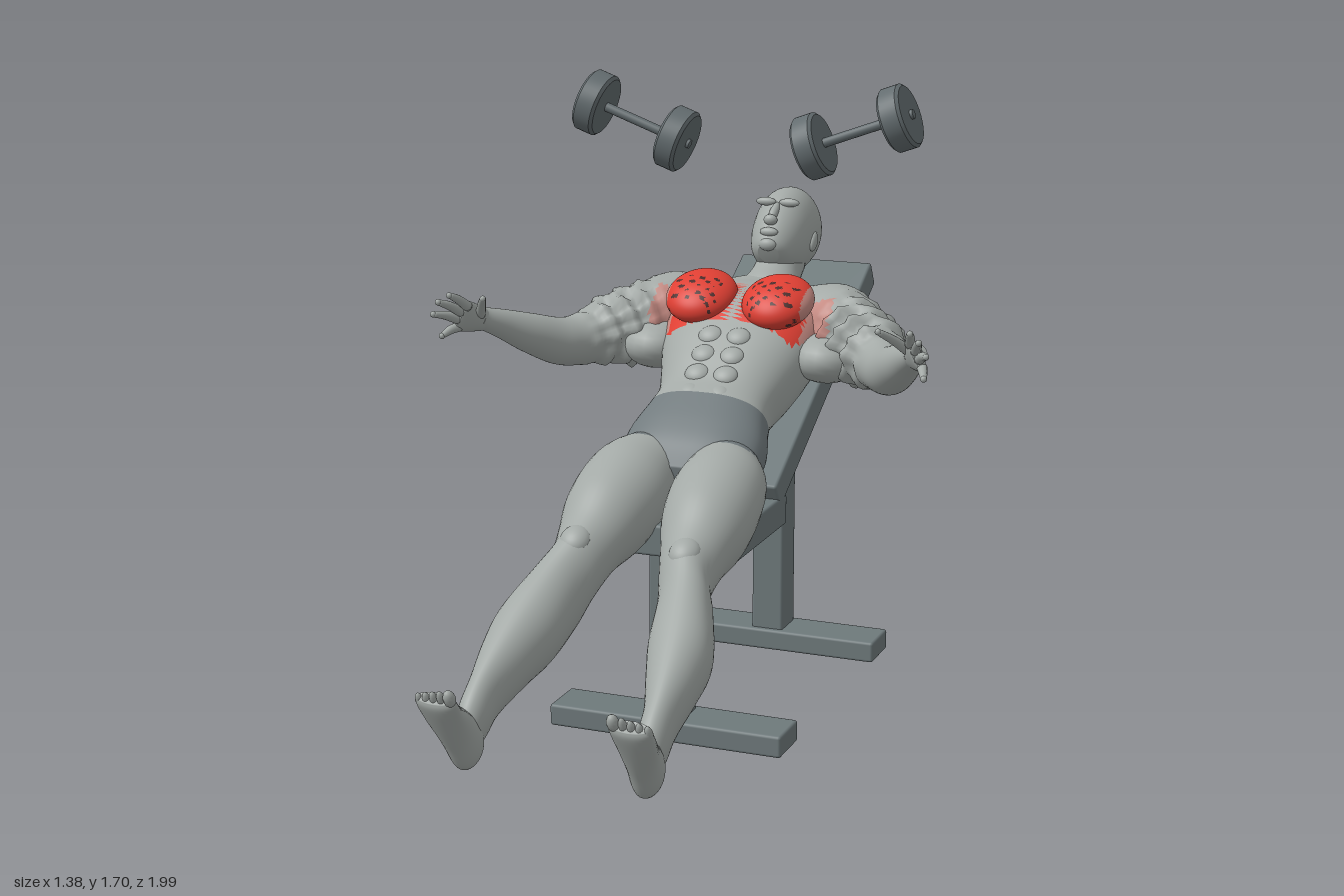
import * as THREE from 'three';
import { toCreasedNormals } from 'three/addons/utils/BufferGeometryUtils.js';
import { RoundedBoxGeometry } from 'three/addons/geometries/RoundedBoxGeometry.js';

const mat = (name, color) => Object.assign(new THREE.MeshStandardMaterial({ color }), { name });
const skin = mat('skin grey', 0xa3a9a6);
const cloth = mat('briefs grey', 0x727b7e);
const steel = mat('bench grey', 0x6e797b);
const iron = mat('dumbbell grey', 0x636c6f);
const red = mat('muscle red', 0xdf3f33);
const pink = mat('faded red', 0xc48a82);
const dark = mat('crack dark', 0x4a2a28);

const mesh = (name, geo, material) => Object.assign(new THREE.Mesh(geo, material), { name });
const wave = (x, y, z, f) =>
  Math.sin(f * (x + 0.45 * y)) * Math.sin(f * (1.1 * y - 0.6 * z) + 1) + 0.6 * Math.sin(f * 1.7 * (z + 0.4 * x));

// Sort faces into material groups by the place of their centre
function paint(geo, pick) {
  const p = geo.attributes.position, src = geo.index.array, lists = {};
  for (let i = 0; i < src.length; i += 3) {
    const f = [src[i], src[i + 1], src[i + 2]];
    const mid = (k) => (p.getComponent(f[0], k) + p.getComponent(f[1], k) + p.getComponent(f[2], k)) / 3;
    const key = pick(Math.abs(mid(0)), mid(1), mid(2));
    (lists[key] ??= []).push(...f);
  }
  const all = [];
  for (const key of Object.keys(lists)) {
    geo.addGroup(all.length, lists[key].length, +key);
    for (const v of lists[key]) all.push(v);
  }
  geo.setIndex(all);
  return geo;
}

// Smooth skin over rings; a row is centre, half-axis u, half-axis v
function loft(rows, { seg = 28, sub = 6, pow = 1, jag = () => 0 } = {}) {
  const pos = [], idx = [], n = rows.length - 1, rings = n * sub + 1;
  const at = (t) => {
    const i = Math.min(Math.floor(t), n - 1), f = t - i;
    const [a, b, c, d] = [-1, 0, 1, 2].map((k) => rows[Math.min(n, Math.max(0, i + k))]);
    return b.map((_, k) => b[k] + 0.5 * f * (c[k] - a[k] + f * (2 * a[k] - 5 * b[k] + 4 * c[k] - d[k]
      + f * (3 * (b[k] - c[k]) + d[k] - a[k]))));
  };
  const bend = (v) => Math.sign(v) * Math.abs(v) ** pow;
  for (let r = 0; r < rings; r++) {
    const q = at(r / sub), amp = jag(r / sub);
    for (let j = 0; j < seg; j++) {
      const a = (j / seg) * Math.PI * 2, cu = bend(Math.cos(a)), sv = bend(Math.sin(a));
      const o = [0, 1, 2].map((k) => q[3 + k] * cu + q[6 + k] * sv);
      const s = amp ? 1 + amp * wave(Math.abs(q[0] + o[0]), q[1] + o[1], q[2] + o[2], 75) : 1;
      pos.push(q[0] + o[0] * s, q[1] + o[1] * s, q[2] + o[2] * s);
    }
  }
  pos.push(...rows[0].slice(0, 3), ...rows[n].slice(0, 3));
  const m = rows[n >> 1], V = (r, k) => new THREE.Vector3(r[k], r[k + 1], r[k + 2]);
  const flip = V(m, 3).cross(V(m, 6)).dot(V(rows[n], 0).sub(V(rows[0], 0))) < 0;
  const tri = (a, b, c) => (flip ? idx.push(a, c, b) : idx.push(a, b, c));
  for (let j = 0; j < seg; j++) {
    const k = (j + 1) % seg, e = (rings - 1) * seg;
    for (let r = 0; r < e; r += seg) {
      tri(r + j, r + k, r + seg + j);
      tri(r + k, r + seg + k, r + seg + j);
    }
    tri(rings * seg, k, j);
    tri(rings * seg + 1, e + j, e + k);
  }
  const g = new THREE.BufferGeometry();
  g.setAttribute('position', new THREE.Float32BufferAttribute(pos, 3));
  g.setIndex(idx);
  g.computeVertexNormals();
  return g;
}
// Row from side profile: front z,y / back z,y / centre x / half width
const slice = ([tz, ty, bz, by, cx, hw]) =>
  [cx, (ty + by) / 2, (tz + bz) / 2, hw, 0, 0, 0, (ty - by) / 2, (tz - bz) / 2];
const profile = (rows, s = 1) => rows.map(([a, b, c, d, x, w]) => slice([a, b, c, d, x * s, w]));
// Rows of round sections square to a path of x, y, z, radius
const limb = (pts, s) => pts.map((p, i) => {
  const P = (k) => new THREE.Vector3(pts[k][0] * s, pts[k][1], pts[k][2]);
  const t = P(Math.min(i + 1, pts.length - 1)).sub(P(Math.max(i - 1, 0))).normalize();
  const u = new THREE.Vector3(0, 1, 0).cross(t).normalize(), v = t.clone().cross(u);
  return [...P(i).toArray(), ...u.multiplyScalar(p[3]).toArray(), ...v.multiplyScalar(p[3]).toArray()];
});
const blobGeo = (p, r, tilt = 0, seg = 20) =>
  new THREE.SphereGeometry(1, seg, Math.ceil(seg * 0.7)).scale(...r).rotateX(tilt).translate(...p);
const axis = (y, z) => z * 0.866 - y * 0.5;

function makeBench() {
  const g = new THREE.Group();
  g.name = 'bench';
  const box = (name, w, h, d, y, z, tilt = 0) => {
    const b = mesh(name, new RoundedBoxGeometry(w, h, d, 2, 0.008), steel);
    b.position.set(0, y, z);
    b.rotation.x = tilt;
    g.add(b);
  };
  box('backrest', 0.4, 0.08, 0.935, 0.839, -0.574, Math.PI / 6);
  box('seat', 0.4, 0.085, 0.41, 0.557, -0.035);
  for (const [z, top] of [[0.094, 0.53], [-0.694, 0.54]]) {
    box('post', 0.094, top - 0.04, 0.107, (top + 0.04) / 2, z);
    box('foot bar', 0.66, 0.06, 0.14, 0.03, z);
  }
  return g;
}

function makeDumbbell(s) {
  const g = new THREE.Group();
  g.name = s > 0 ? 'left dumbbell' : 'right dumbbell';
  const shape = [[0, -0.032], [0.08, -0.032], [0.088, -0.024], [0.088, 0.024], [0.08, 0.032], [0, 0.032]];
  const disc = toCreasedNormals(new THREE.LatheGeometry(shape.map((p) => new THREE.Vector2(...p)), 40), 0.4);
  for (const e of [-1, 1]) {
    const w = mesh('weight', disc, iron);
    w.position.y = e * 0.128;
    g.add(w);
  }
  g.add(mesh('handle', new THREE.CylinderGeometry(0.013, 0.013, 0.336, 20), iron));
  g.position.set(s * 0.318, 1.563, -0.432);
  g.rotation.z = -s * (Math.PI / 2 - 0.35);
  return g;
}

function makeFigure() {
  const g = new THREE.Group();
  g.name = 'figure';
  const add = (name, geo, m = skin) => g.add(mesh(name, geo, m));

  // Torso with briefs and tinted chest
  const torso = loft(profile([
    [-0.62, 1.12, -0.70, 1.02, 0, 0.10], [-0.57, 1.115, -0.66, 0.95, 0, 0.20], [-0.50, 1.115, -0.57, 0.89, 0, 0.235],
    [-0.40, 1.10, -0.50, 0.845, 0, 0.23], [-0.31, 1.04, -0.40, 0.79, 0, 0.21], [-0.24, 0.985, -0.33, 0.75, 0, 0.185],
    [-0.17, 0.925, -0.27, 0.73, 0, 0.165], [-0.115, 0.893, -0.217, 0.716, 0, 0.17], [-0.03, 0.84, -0.12, 0.65, 0, 0.195],
    [0.03, 0.79, -0.02, 0.62, 0, 0.18], [0.07, 0.73, 0.04, 0.62, 0, 0.10]]), { seg: 56, sub: 8, pow: 0.82 });
  add('torso', paint(torso, (x, y, z) => {
    if (axis(y, z) > -0.547) return 1;
    if (z < -0.5 || z > -0.32 || x < 0.022 || y < 0.99) return 0;
    return x > 0.19 || z < -0.47 ? 3 : 2;
  }), [skin, cloth, red, pink]);

  // Neck and head
  add('neck', loft(profile([[-0.70, 1.21, -0.80, 1.08, 0, 0.066], [-0.65, 1.155, -0.74, 1.05, 0, 0.07],
    [-0.60, 1.125, -0.68, 1.01, 0, 0.09], [-0.56, 1.09, -0.62, 0.96, 0, 0.14]])));
  add('head', loft(profile([[-0.905, 1.255, -0.912, 1.215, 0, 0.025], [-0.855, 1.325, -0.905, 1.14, 0, 0.068],
    [-0.79, 1.342, -0.87, 1.11, 0, 0.087], [-0.73, 1.33, -0.82, 1.095, 0, 0.089], [-0.68, 1.295, -0.77, 1.095, 0, 0.083],
    [-0.645, 1.26, -0.73, 1.10, 0, 0.073], [-0.62, 1.225, -0.68, 1.12, 0, 0.054], [-0.612, 1.205, -0.64, 1.15, 0, 0.03]]),
  { seg: 36 }));
  add('nose bridge', blobGeo([0, 1.288, -0.672], [0.013, 0.014, 0.04], 0.6));
  add('nose tip', blobGeo([0, 1.272, -0.643], [0.02, 0.016, 0.015], 0.6));
  add('lips', blobGeo([0, 1.24, -0.63], [0.027, 0.012, 0.013], 0.8));
  add('chin', blobGeo([0, 1.205, -0.622], [0.026, 0.018, 0.016]));

  for (const s of [1, -1]) {
    const side = s > 0 ? 'left ' : 'right ';
    add(side + 'brow', blobGeo([s * 0.035, 1.313, -0.703], [0.03, 0.012, 0.012], 0.6));
    add(side + 'ear', blobGeo([s * 0.087, 1.195, -0.765], [0.011, 0.03, 0.02], -0.6));

    // Chest muscle with torn lower edge
    add(side + 'chest muscle', paint(blobGeo([s * 0.112, 1.092, -0.4], [0.1, 0.058, 0.105], 0.42, 72), (x, y, z) => {
      if (z > -0.395 && z < -0.315 && x > 0.045 && x < 0.185 && wave(x, y, z, 150) > 0.62) return 2;
      return z < -0.47 || x > 0.193 ? 1 : 0;
    }), [red, pink, dark]);

    // Stomach muscles
    for (let i = 0; i < 4; i++) {
      const z = -0.285 + i * 0.05;
      add(side + 'stomach muscle', blobGeo([s * 0.04, 1.008 - i * 0.042, z], [0.036, 0.02, 0.032], 0.68));
    }

    // Arm, crumpled from shoulder to elbow
    const arm = loft(limb([[0.14, 1.02, -0.54, 0.09], [0.23, 1.02, -0.53, 0.108], [0.315, 0.99, -0.46, 0.11],
      [0.385, 0.975, -0.39, 0.092], [0.44, 0.96, -0.32, 0.074], [0.48, 0.965, -0.25, 0.066], [0.53, 1.0, -0.17, 0.055],
      [0.575, 1.035, -0.1, 0.041], [0.605, 1.057, -0.05, 0.032], [0.615, 1.066, -0.03, 0.03]], s),
    { seg: 44, sub: 8, jag: (t) => (t > 1.2 && t < 4.2 ? 0.13 * Math.min(1, t - 1.2, 4.2 - t) : 0) });
    add(side + 'arm', paint(arm, (x, y, z) => (x < 0.26 && z > -0.45 && y > 0.95 ? 1 : 0)), [skin, pink]);
    add(side + 'shoulder muscle', blobGeo([s * 0.245, 1.035, -0.545], [0.085, 0.082, 0.08]));
    add(side + 'upper arm flesh', blobGeo([s * 0.25, 0.945, -0.42], [0.1, 0.07, 0.11]));

    // Hand with spread fingers
    add(side + 'palm', loft([[0.604, 1.055, -0.05, 0.012, -0.026, 0, 0.022, 0.012, -0.012],
      [0.618, 1.066, -0.01, 0.018, -0.036, 0, 0.018, 0.01, -0.008], [0.634, 1.078, 0.03, 0.021, -0.042, 0, 0.013, 0.008, -0.006],
      [0.638, 1.08, 0.042, 0.016, -0.032, 0, 0.007, 0.004, -0.004]].map((r) => r.map((v, k) => (k % 3 ? v : v * s)))));
    for (const [a, b] of [[[0.603, 1.075, -0.015], [0.548, 1.142, 0.08]], [[0.617, 1.105, 0.03], [0.637, 1.148, 0.1]],
      [[0.634, 1.09, 0.036], [0.664, 1.13, 0.113]], [[0.644, 1.07, 0.036], [0.682, 1.095, 0.108]],
      [[0.648, 1.047, 0.025], [0.67, 1.032, 0.083]]]) {
      const mid = a.map((v, k) => (v + b[k]) / 2 + (k === 1 ? 0.004 : 0));
      add(side + 'finger', loft(limb([[...a, 0.014], [...mid, 0.012], [...b, 0.008]], s), { seg: 12, sub: 4 }));
      add(side + 'fingertip', blobGeo([b[0] * s, b[1], b[2]], [0.0085, 0.0085, 0.0085], 0, 10));
    }

    // Leg, with the briefs reaching over the hip
    const leg = loft(profile([[-0.03, 0.80, -0.07, 0.65, 0.105, 0.085], [0.05, 0.797, 0.02, 0.60, 0.125, 0.115],
      [0.14, 0.78, 0.12, 0.535, 0.13, 0.126], [0.25, 0.73, 0.20, 0.50, 0.137, 0.115], [0.33, 0.665, 0.30, 0.48, 0.143, 0.088],
      [0.39, 0.625, 0.39, 0.425, 0.152, 0.071], [0.46, 0.575, 0.445, 0.36, 0.178, 0.076], [0.57, 0.505, 0.54, 0.305, 0.207, 0.086],
      [0.66, 0.445, 0.63, 0.275, 0.222, 0.07], [0.76, 0.375, 0.73, 0.235, 0.233, 0.045], [0.83, 0.32, 0.785, 0.20, 0.236, 0.04],
      [0.86, 0.275, 0.825, 0.18, 0.238, 0.032]], s), { seg: 36 });
    add(side + 'leg', paint(leg, (x, y, z) => (axis(y, z) < -0.38 ? 1 : 0)), [skin, cloth]);
    add(side + 'kneecap', blobGeo([s * 0.15, 0.605, 0.38], [0.042, 0.03, 0.045], 0.65));

    // Foot and toes
    add(side + 'foot', loft(profile([[0.81, 0.195, 0.83, 0.16, 0.238, 0.022], [0.80, 0.25, 0.868, 0.152, 0.238, 0.041],
      [0.855, 0.305, 0.91, 0.215, 0.243, 0.043], [0.92, 0.348, 0.955, 0.29, 0.249, 0.052],
      [0.957, 0.377, 0.982, 0.34, 0.25, 0.055], [0.968, 0.385, 0.985, 0.36, 0.25, 0.05]], s)));
    for (let i = 0; i < 5; i++) {
      const r = i ? 0.0105 : 0.0155;
      add(side + 'toe', blobGeo([s * (0.21 + i * 0.0205 + (i ? 0.003 : 0)), 0.378 - i * 0.005, 0.98 - i * 0.003],
        [r, 0.026, r], 0.5, 12));
    }
  }
  return g;
}

export function createModel() {
  const model = new THREE.Group();
  model.name = 'incline press scene';
  model.add(makeBench(), makeDumbbell(1), makeDumbbell(-1), makeFigure());
  return model;
}
